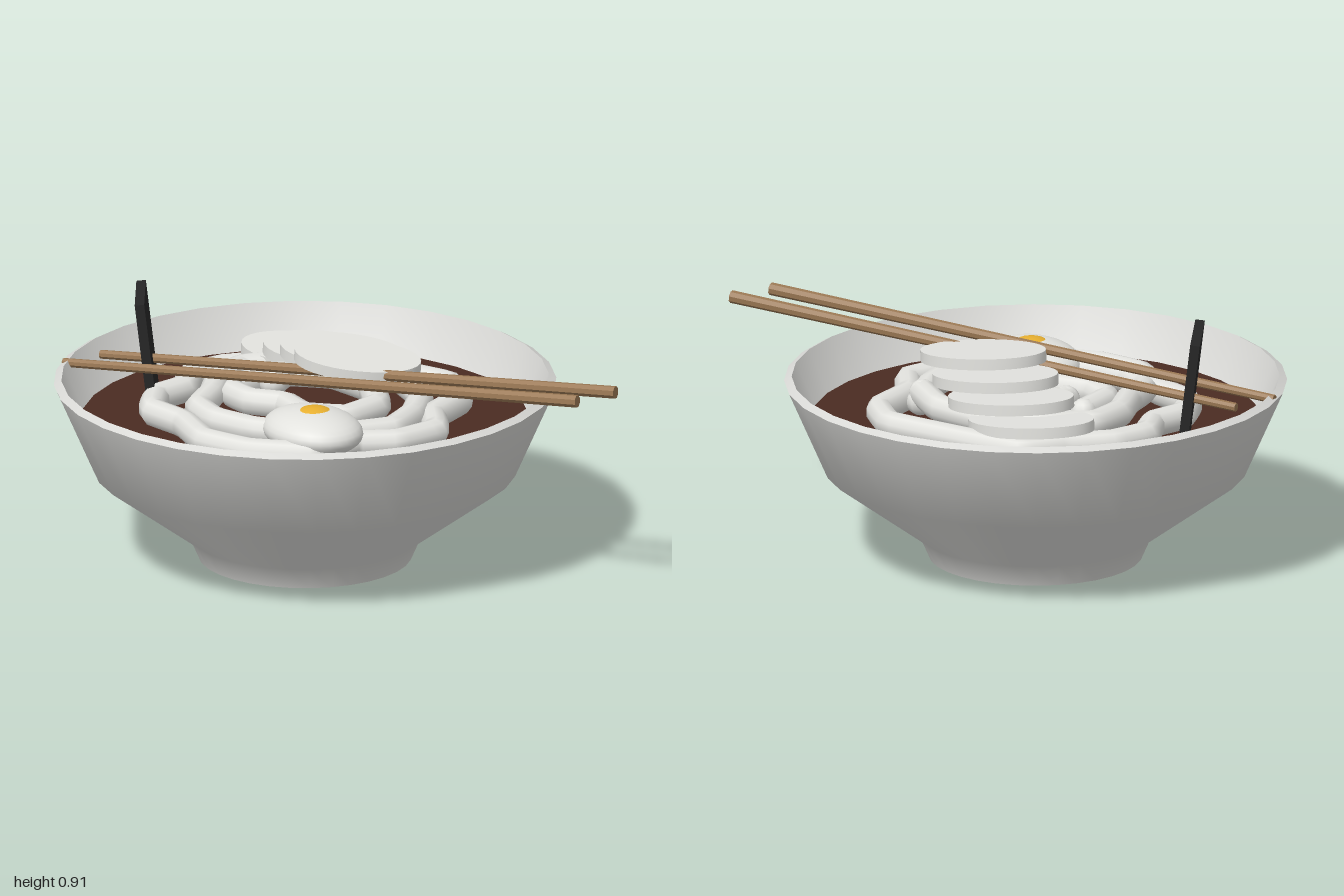
import * as THREE from 'three';
import { toCreasedNormals } from 'three/addons/utils/BufferGeometryUtils.js';

const mat = (name, color) => {
  const m = new THREE.MeshStandardMaterial({ color });
  m.name = name;
  return m;
};
const V = (x, y, z) => new THREE.Vector3(x, y, z);

export function createModel() {
  const model = new THREE.Group();
  model.name = 'noodleBowl';
  const white = mat('ceramicWhite', 0xd9d9d6);
  const cream = mat('foodWhite', 0xe2e2de);
  const brown = mat('brothBrown', 0x4b2c22);
  const yellow = mat('yolkYellow', 0xe8b030);
  const black = mat('seaweedBlack', 0x262626);
  const wood = mat('wood', 0x9a7854);

  const add = (name, geometry, material, x = 0, y = 0, z = 0, parent = model) => {
    const mesh = new THREE.Mesh(geometry, material);
    mesh.name = name;
    mesh.position.set(x, y, z);
    parent.add(mesh);
    return mesh;
  };

  // Bowl: outer wall, rim and inner wall in one turned profile
  const profile = [
    [0, 0], [0.38, 0], [0.415, 0.08], [0.755, 0.33], [0.895, 0.65],
    [0.868, 0.665], [0.73, 0.36], [0.4, 0.12], [0, 0.1],
  ].map(([r, y]) => new THREE.Vector2(r, y));
  add('bowl', toCreasedNormals(new THREE.LatheGeometry(profile, 32), 0.9), white, -0.1);

  // Broth surface
  const broth = new THREE.CircleGeometry(0.798, 32);
  broth.rotateX(-Math.PI / 2);
  add('broth', broth, brown, -0.1, 0.51, 0);

  // Noodles: angular coils with rounded ends
  const noodles = new THREE.Group();
  noodles.name = 'noodles';
  model.add(noodles);
  const noodle = (name, pts, y0, y1, closed = false) => {
    const path = pts.map(([x, z], i) => V(x, y0 + (y1 - y0) * i / (pts.length - 1), z));
    const curve = new THREE.CatmullRomCurve3(path, closed, 'catmullrom', 0.12);
    add(name, new THREE.TubeGeometry(curve, pts.length * 5, 0.05, 10, closed), cream, 0, 0, 0, noodles);
    if (closed) return;
    for (const p of [path[0], path[path.length - 1]])
      add(name + 'End', new THREE.SphereGeometry(0.05, 10, 8), cream, p.x, p.y, p.z, noodles);
  };
  noodle('outerNoodle', [
    [-0.53, -0.36], [-0.2, -0.49], [0, -0.56], [0.17, -0.49], [0.26, -0.3], [0.41, -0.2],
    [0.42, -0.02], [0.34, 0.12], [0.36, 0.3], [0.19, 0.46], [0, 0.52], [-0.2, 0.46],
    [-0.38, 0.47], [-0.5, 0.36], [-0.52, 0.22], [-0.62, 0.12], [-0.63, -0.03], [-0.57, -0.18],
  ], 0.555, 0.555, true);
  noodle('middleNoodle', [
    [0.13, -0.34], [0.25, -0.22], [0.34, -0.06], [0.3, 0.1], [0.2, 0.24], [0.06, 0.35],
    [-0.1, 0.4], [-0.24, 0.37], [-0.33, 0.24], [-0.44, 0.13], [-0.5, -0.02], [-0.42, -0.2],
    [-0.25, -0.33], [-0.05, -0.38], [0.13, -0.33],
  ], 0.57, 0.6);
  noodle('innerNoodle', [
    [-0.36, 0.03], [-0.29, 0.18], [-0.17, 0.19], [-0.06, 0.12], [0.08, 0.14],
    [0.2, 0.04], [0.17, -0.12], [0, -0.22], [-0.2, -0.2], [-0.32, -0.08], [-0.25, 0.03],
  ], 0.59, 0.61);

  // Four overlapping oval slices, each a little higher than the last
  const slices = [[-0.44, 0.615, -0.25], [-0.29, 0.66, -0.235], [-0.14, 0.7, -0.2], [0.025, 0.735, -0.14]];
  slices.forEach(([x, y, z], i) => {
    const disc = new THREE.CylinderGeometry(1, 1, 1, 32);
    disc.scale(0.23, 0.04, 0.155);
    disc.rotateY(0.67);
    disc.rotateZ(-0.08);
    add('slice' + (i + 1), toCreasedNormals(disc, 0.9), cream, x, y, z);
  });

  // Boiled egg with a raised yolk
  const eggWhite = new THREE.SphereGeometry(1, 32, 16).scale(0.205, 0.08, 0.165);
  add('eggWhite', eggWhite, cream, 0.235, 0.6, 0.215);
  const yolk = new THREE.SphereGeometry(1, 24, 12).scale(0.088, 0.055, 0.09);
  add('eggYolk', yolk, yellow, 0.24, 0.632, 0.212);

  // Leaning seaweed sheet, partly sunk in the broth
  const sheet = add('seaweed', new THREE.BoxGeometry(0.3, 0.43, 0.034), black, -0.62, 0.69, 0.312);
  const up = V(-0.037, 0.42, 0.035).normalize();
  const across = V(0.79, 0, 0.61);
  across.addScaledVector(up, -across.dot(up)).normalize();
  sheet.quaternion.setFromRotationMatrix(
    new THREE.Matrix4().makeBasis(across, up, across.clone().cross(up)));

  // Two tapered chopsticks resting across the rim
  const chopstick = (name, tip, end) => {
    const dir = end.clone().sub(tip);
    const geometry = new THREE.CylinderGeometry(0.023, 0.016, dir.length(), 8);
    const mid = tip.clone().add(end).multiplyScalar(0.5);
    const stick = add(name, toCreasedNormals(geometry, 0.5), wood, mid.x, mid.y, mid.z);
    stick.quaternion.setFromUnitVectors(V(0, 1, 0), dir.normalize());
  };
  chopstick('backChopstick', V(-0.78, 0.65, 0.4), V(0.985, 0.783, -0.57));
  chopstick('frontChopstick', V(-0.78, 0.652, 0.565), V(0.985, 0.783, -0.4));

  return model;
}
